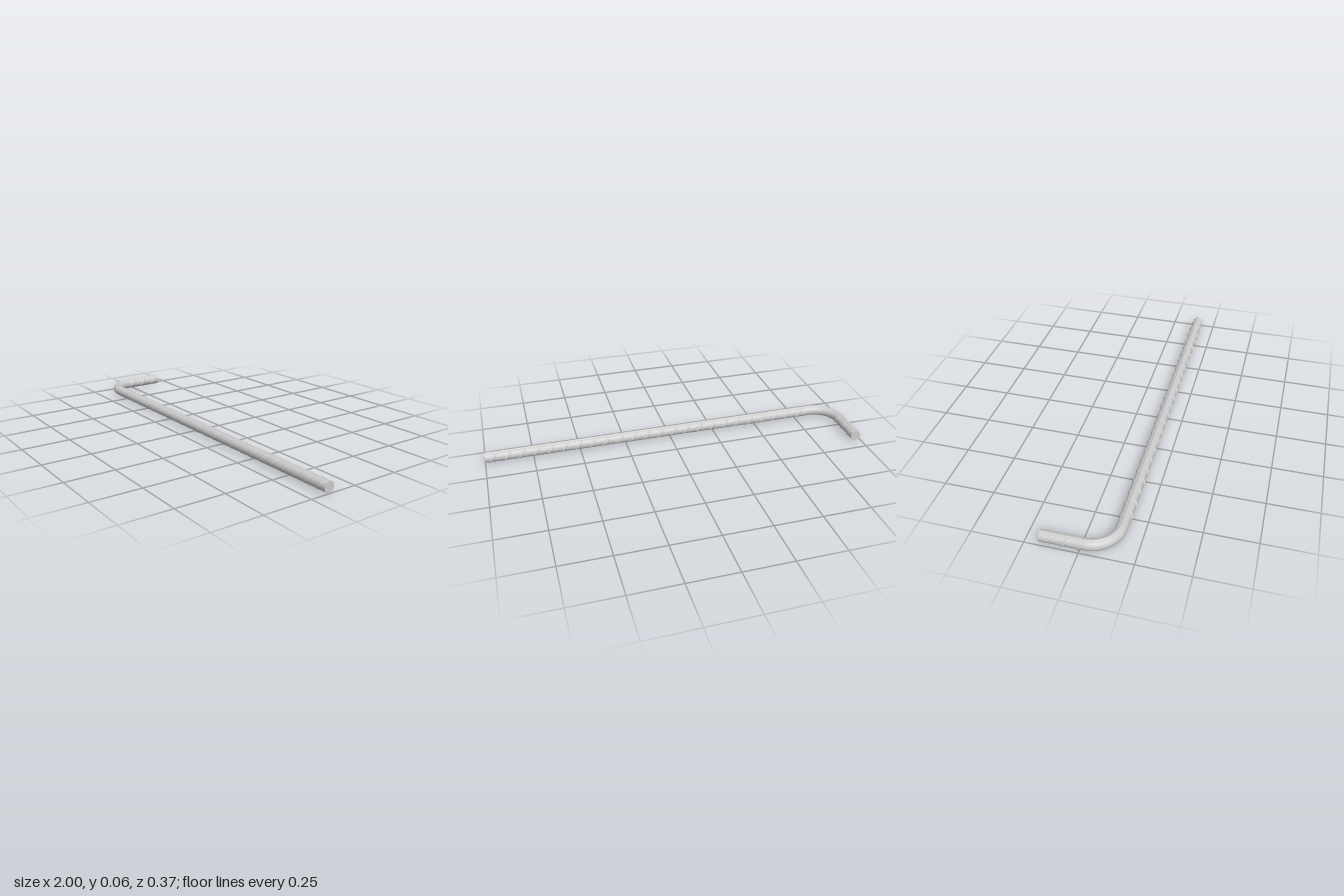
import * as THREE from 'three';
import { ParametricGeometry } from 'three/addons/geometries/ParametricGeometry.js';

const CORE = 0.0272, RIDGE = 0.03, RIB = 0.032;   // radii from the bar axis
const Y = 0.03, LEG_X = -0.968, BAR_Z = 0.151, END_Z = -0.183;
const BEND = 0.13;
const LEG = BAR_Z - BEND - END_Z;                  // straight short leg
const ARC = BEND * Math.PI / 2;
const LONG = 1 - (LEG_X + BEND);                   // straight long leg
const TOTAL = LEG + ARC + LONG;

// Point on the bent bar: s along the axis, angle 0 = outside of the bend, 90 degrees = up
function barPoint(s, angle, r, target) {
  const out = r * Math.cos(angle);
  const turn = THREE.MathUtils.clamp((s - LEG) / BEND, 0, Math.PI / 2);
  const before = Math.min(s - LEG, 0), after = Math.max(s - LEG - ARC, 0);
  return target.set(
    LEG_X + BEND - (BEND + out) * Math.cos(turn) + after,
    Y + r * Math.sin(angle),
    BAR_Z - BEND + (BEND + out) * Math.sin(turn) + before
  );
}

export function createModel() {
  const group = new THREE.Group();
  const material = new THREE.MeshStandardMaterial({ color: 0xcccccc });
  const add = (name, geometry, parent = group) => {
    const mesh = new THREE.Mesh(geometry, material);
    mesh.name = name;
    parent.add(mesh);
    return mesh;
  };

  // Round core, with rows concentrated in the bend
  const rows = 28;
  const along = u => {
    const k = u * rows;
    if (k < 2) return LEG * k / 2;
    if (k < 26) return LEG + ARC * (k - 2) / 24;
    return LEG + ARC + LONG * (k - 26) / 2;
  };
  add('barCore', new ParametricGeometry(
    (u, v, t) => barPoint(along(u), v * Math.PI * 2, CORE, t), rows, 32));

  // Flat ends
  const legEnd = add('shortEnd', new THREE.CircleGeometry(CORE, 32));
  legEnd.position.set(LEG_X, Y, END_Z);
  legEnd.rotation.y = Math.PI;
  const longEnd = add('longEnd', new THREE.CircleGeometry(CORE, 32));
  longEnd.position.set(1, Y, BAR_Z);
  longEnd.rotation.y = Math.PI / 2;

  // Lengthwise ridges on top and underneath
  for (const [name, mid] of [['topRidge', Math.PI / 2], ['bottomRidge', -Math.PI / 2]]) {
    add(name, new ParametricGeometry((u, v, t) => {
      const r = CORE - 0.001 + (RIDGE - CORE + 0.001) * Math.sin(v * Math.PI);
      return barPoint(along(u), mid + (v - 0.5) * 0.5, r, t);
    }, rows, 6));
  }

  // Slanted crescent ribs on both sides of the straight lengths
  const ribs = new THREE.Group();
  ribs.name = 'crescentRibs';
  group.add(ribs);
  const pitch = 0.075, width = 0.022, slant = 0.018, sweep = 1.3;
  const addRib = (s0, side) => add('rib', new ParametricGeometry((u, v, t) => {
    const a = (v - 0.5) * 2 * sweep;
    const height = (RIB - CORE + 0.001) * Math.sin(u * Math.PI) * Math.cos(a / sweep * Math.PI / 2);
    return barPoint(s0 + (u - 0.5) * width + slant * a, side + a, CORE - 0.001 + height, t);
  }, 6, 14), ribs);
  for (const side of [0, Math.PI]) {
    for (let s = 0.04; s < LEG; s += pitch) addRib(s, side);
    for (let s = TOTAL - 0.04; s > LEG + ARC; s -= pitch) addRib(s, side);
  }
  return group;
}
